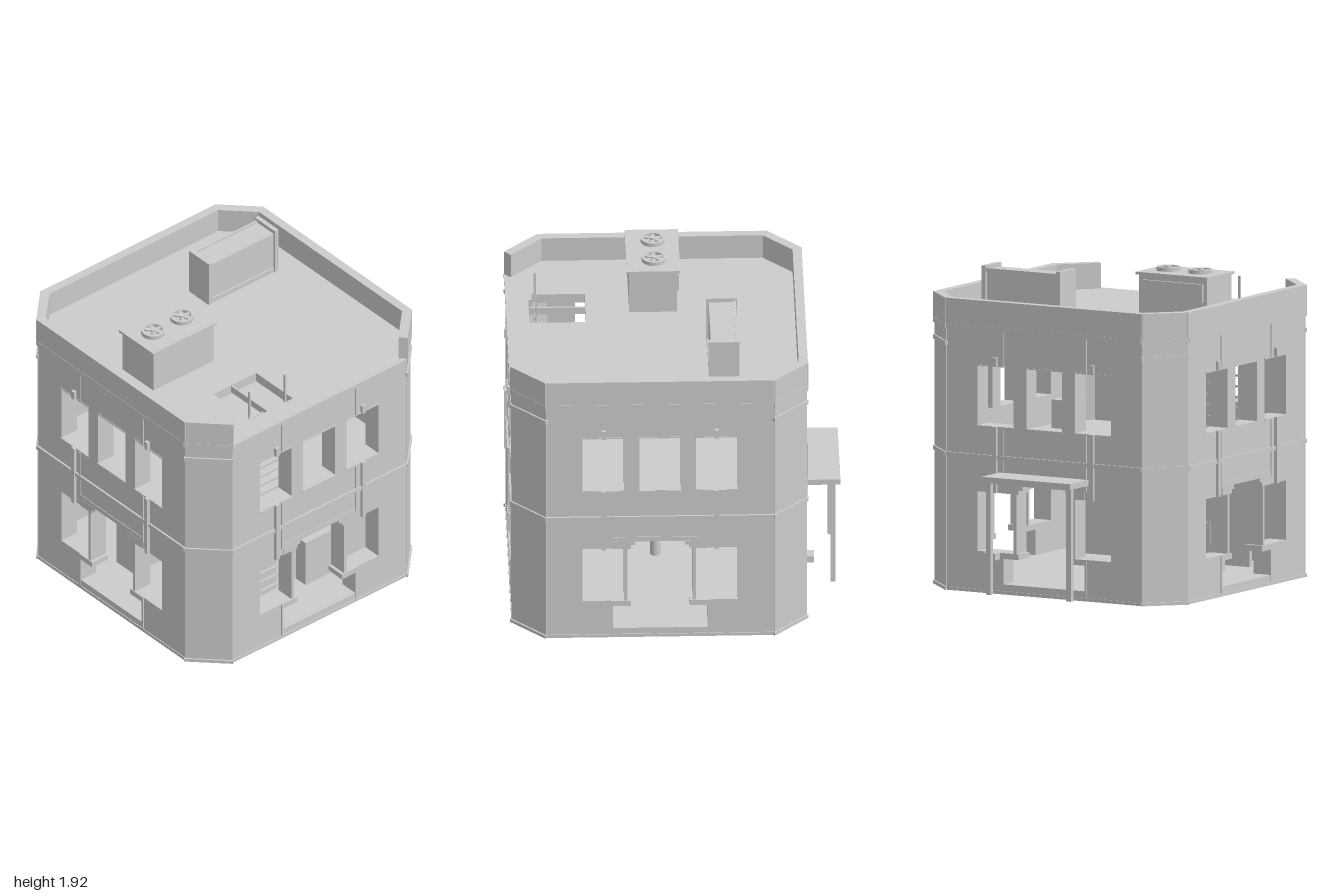
import * as THREE from 'three';

export function createModel() {
  const root = new THREE.Group();
  const grey = new THREE.MeshStandardMaterial({ color: 0xcccccc });
  grey.name = 'plain grey';

  const add = (parent, name, geo) => {
    const m = new THREE.Mesh(geo, grey);
    m.name = name;
    parent.add(m);
    return m;
  };
  // box given by its extents
  const box = (parent, name, x0, x1, y0, y1, z0, z1) => {
    const m = add(parent, name, new THREE.BoxGeometry(x1 - x0, y1 - y0, z1 - z0));
    m.position.set((x0 + x1) / 2, (y0 + y1) / 2, (z0 + z1) / 2);
    return m;
  };
  const cyl = (parent, name, r, y0, y1, x, z, n = 24) => {
    const m = add(parent, name, new THREE.CylinderGeometry(r, r, y1 - y0, n));
    m.position.set(x, (y0 + y1) / 2, z);
    return m;
  };
  const poly = (pts, T = THREE.Path) => new T(pts.map(p => new THREE.Vector2(...p)));
  const rect = (x0, x1, y0, y1) => poly([[x0, y0], [x1, y0], [x1, y1], [x0, y1]]);

  // the octagonal building, centred on its own origin
  const building = new THREE.Group();
  building.name = 'building';
  building.position.z = 0.095;
  root.add(building);
  const C = 0.68, H = 0.88, T = 0.12, D = (C + H) / Math.SQRT2, L = (H - C) * Math.SQRT2;

  // floor slabs, cut from the octagon
  const octagon = (h) => {
    const c = C - (H - h) * 0.41;
    return poly([[c, -h], [h, -c], [h, c], [c, h], [-c, h], [-h, c], [-h, -c], [-c, -h]], THREE.Shape);
  };
  const slab = (name, y0, y1, h, hole) => {
    const s = octagon(h);
    if (hole) s.holes.push(hole);
    const g = new THREE.ExtrudeGeometry(s, { depth: y1 - y0, bevelEnabled: false });
    g.rotateX(-Math.PI / 2);
    add(building, name, g).position.y = y0;
  };
  slab('groundFloor', 0, 0.06, 0.875);
  slab('upperFloor', 0.77, 0.83, 0.86);
  slab('roofDeck', 1.55, 1.61, 0.875, rect(-0.435, -0.1, -0.755, -0.415));

  // one facade wall with three windows above and a wide doorway below
  const wallShape = rect(-C, C, 0.02, 1.58);
  const wall = new THREE.Shape(wallShape.getPoints());
  for (const x of [-0.34, 0, 0.34]) wall.holes.push(rect(x - 0.125, x + 0.125, 1.01, 1.375));
  wall.holes.push(poly([
    [-0.285, 0.06], [0.285, 0.06], [0.285, 0.25], [0.465, 0.25], [0.465, 0.61], [0.285, 0.61],
    [0.285, 0.66], [-0.285, 0.66], [-0.285, 0.61], [-0.465, 0.61], [-0.465, 0.25], [-0.285, 0.25]]));
  const wallGeo = new THREE.ExtrudeGeometry(wall, { depth: T, bevelEnabled: false });

  for (let i = 0; i < 4; i++) {
    const side = new THREE.Group();
    side.name = ['front', 'left', 'back', 'right'][i] + 'Facade';
    side.rotation.y = i * Math.PI / 2;
    building.add(side);
    add(side, 'wall', wallGeo).position.z = H - T;
    box(side, 'baseBand', -C, C, 0.0, 0.02, H - 0.05, H + 0.005);
    box(side, 'storeyBand', -C, C, 0.81, 0.835, H - 0.02, H + 0.012);
    box(side, 'cornice', -C, C, 1.58, 1.61, H - 0.05, H + 0.012);
    box(side, 'doorLintel', -0.285, 0.285, 0.66, 0.69, H - T, H + 0.004);
    if (i) box(side, 'parapet', -C - 0.01, C + 0.01, 1.61, 1.765, H - 0.045, H + 0.01);
    for (const s of [-1, 1]) {
      const b = (name, a, c, ...r) => box(side, name, Math.min(s * a, s * c), Math.max(s * a, s * c), ...r);
      b('upperSeam', 0.283, 0.297, 1.375, 1.58, H - 0.01, H + 0.007);
      b('middleSeam', 0.283, 0.297, 0.66, 1.0, H - 0.01, H + 0.007);
      b('lowerSeam', 0.283, 0.297, 0.02, 0.25, H - 0.01, H + 0.005);
      b('windowStrip', 0.325, 0.352, 0.61, 1.01, H - 0.01, H + 0.02);
      b('windowStripTop', 0.325, 0.352, 1.375, 1.43, H - 0.01, H + 0.02);
      // window post standing inside the doorway, with its console and ledge
      b('windowPost', 0.195, 0.215, 0.24, 0.63, H - T, H);
      b('console', 0.15, 0.285, 0.635, 0.66, H - T, H + 0.005);
      b('consoleFoot', 0.175, 0.285, 0.61, 0.635, H - T, H + 0.005);
      b('windowLedge', 0.175, 0.285, 0.215, 0.25, H - T, H + 0.005);
    }
    // thin frames around the upper windows
    for (const x of [-0.34, 0, 0.34])
      for (const y of [1.005, 1.375]) box(side, 'windowTrim', x - 0.13, x + 0.13, y - 0.004, y + 0.004, H - T, H + 0.004);

    // chamfered corner
    const corner = new THREE.Group();
    corner.name = 'corner';
    corner.rotation.y = Math.PI / 4 + i * Math.PI / 2;
    building.add(corner);
    const w = L / 2;
    box(corner, 'cornerWall', -w, w, 0.01, 1.58, D - T, D + 0.004);
    for (const [y0, y1] of [[0, 0.02], [0.81, 0.835], [1.48, 1.505], [1.58, 1.61]])
      box(corner, 'cornerBand', -w - 0.006, w + 0.006, y0, y1, D - 0.05, D + 0.014);
    box(corner, 'cornerParapet', -w - 0.005, w + 0.005, 1.61, 1.765, D - 0.045, D + 0.012);
  }

  // rear canopy on two posts, and a small shelf
  box(root, 'canopyRoof', -0.31, 0.31, 0.7, 0.735, -1.0, -0.78);
  for (const x of [-0.28, 0.28]) box(root, 'canopyPost', x - 0.016, x + 0.016, 0.02, 0.7, -0.97, -0.94);
  box(root, 'rearShelf', 0.31, 0.39, 0.21, 0.25, -0.84, -0.78);

  // ladder from the ground floor through the roof hatch
  const ladder = new THREE.Group();
  ladder.name = 'ladder';
  root.add(ladder);
  for (const x of [-0.405, -0.128]) box(ladder, 'ladderRail', x - 0.006, x + 0.006, 0.06, 1.78, 0.803, 0.817);
  for (let y = 0.13; y < 1.6; y += 0.0655) box(ladder, 'ladderRung', -0.405, -0.128, y - 0.007, y + 0.007, 0.8, 0.815);

  // interior furniture
  box(root, 'partitionLeft', -0.6, -0.04, 0.06, 0.77, 0.6, 0.63);
  box(root, 'partitionRight', 0.03, 0.6, 0.06, 0.77, 0.6, 0.63);
  box(root, 'frontCounter', 0.11, 0.6, 0.06, 0.37, 0.63, 0.72);
  cyl(root, 'stool', 0.03, 0.06, 0.28, 0, 0.1);
  box(root, 'cabinet', -0.6, -0.3, 0.06, 0.37, -0.19, -0.03);
  box(root, 'bench', -0.55, -0.3, 0.06, 0.24, 0.24, 0.4);
  box(root, 'benchBack', -0.55, -0.3, 0.24, 0.37, 0.225, 0.24);
  box(root, 'upperCabinet', -0.12, 0.03, 0.83, 1.18, -0.65, -0.5);
  box(root, 'upperSeat', -0.03, 0.05, 0.83, 1.04, -0.5, -0.42);
  box(root, 'upperSeatTop', -0.04, 0.05, 1.05, 1.07, -0.55, -0.42);

  // rooftop cooling unit with two fans
  const unit = new THREE.Group();
  unit.name = 'coolingUnit';
  root.add(unit);
  box(unit, 'unitBody', -0.685, -0.21, 1.61, 1.88, -0.035, 0.25);
  box(unit, 'unitLid', -0.698, -0.198, 1.88, 1.896, -0.055, 0.265);
  box(unit, 'unitPanel', -0.66, -0.235, 1.74, 1.85, -0.05, -0.035);
  for (const x of [-0.56, -0.335]) {
    const ring = new THREE.Shape().absarc(0, 0, 0.072, 0, Math.PI * 2);
    ring.holes.push(new THREE.Path().absarc(0, 0, 0.056, 0, Math.PI * 2, true));
    const g = new THREE.ExtrudeGeometry(ring, { depth: 0.024, bevelEnabled: false, curveSegments: 20 });
    g.rotateX(-Math.PI / 2);
    add(unit, 'fanRing', g).position.set(x, 1.896, 0.1);
    cyl(unit, 'fanHub', 0.02, 1.896, 1.925, x, 0.1, 16);
    for (let k = 0; k < 3; k++) {
      const blade = box(unit, 'fanBlades', x - 0.06, x + 0.06, 1.904, 1.914, 0.09, 0.11);
      blade.rotation.y = k * Math.PI / 3;
    }
  }

  // rooftop box with raised end boards
  const vent = new THREE.Group();
  vent.name = 'roofBox';
  root.add(vent);
  box(vent, 'roofBoxBody', 0.15, 0.665, 1.61, 1.885, -0.365, -0.215);
  box(vent, 'roofBoxBase', 0.165, 0.645, 1.61, 1.64, -0.375, -0.205);
  box(vent, 'roofBoxRearRim', 0.15, 0.665, 1.87, 1.895, -0.378, -0.363);
  for (const x of [0.145, 0.665]) box(vent, 'endBoard', x - 0.014, x + 0.014, 1.61, 1.91, -0.385, -0.2);

  // roof hatch: a dividing bar and a low step at the front edge
  box(root, 'hatchBar', -0.296, -0.284, 1.56, 1.605, 0.51, 0.85);
  box(root, 'hatchStep', -0.435, -0.36, 1.56, 1.615, 0.83, 0.85);

  return root;
}
